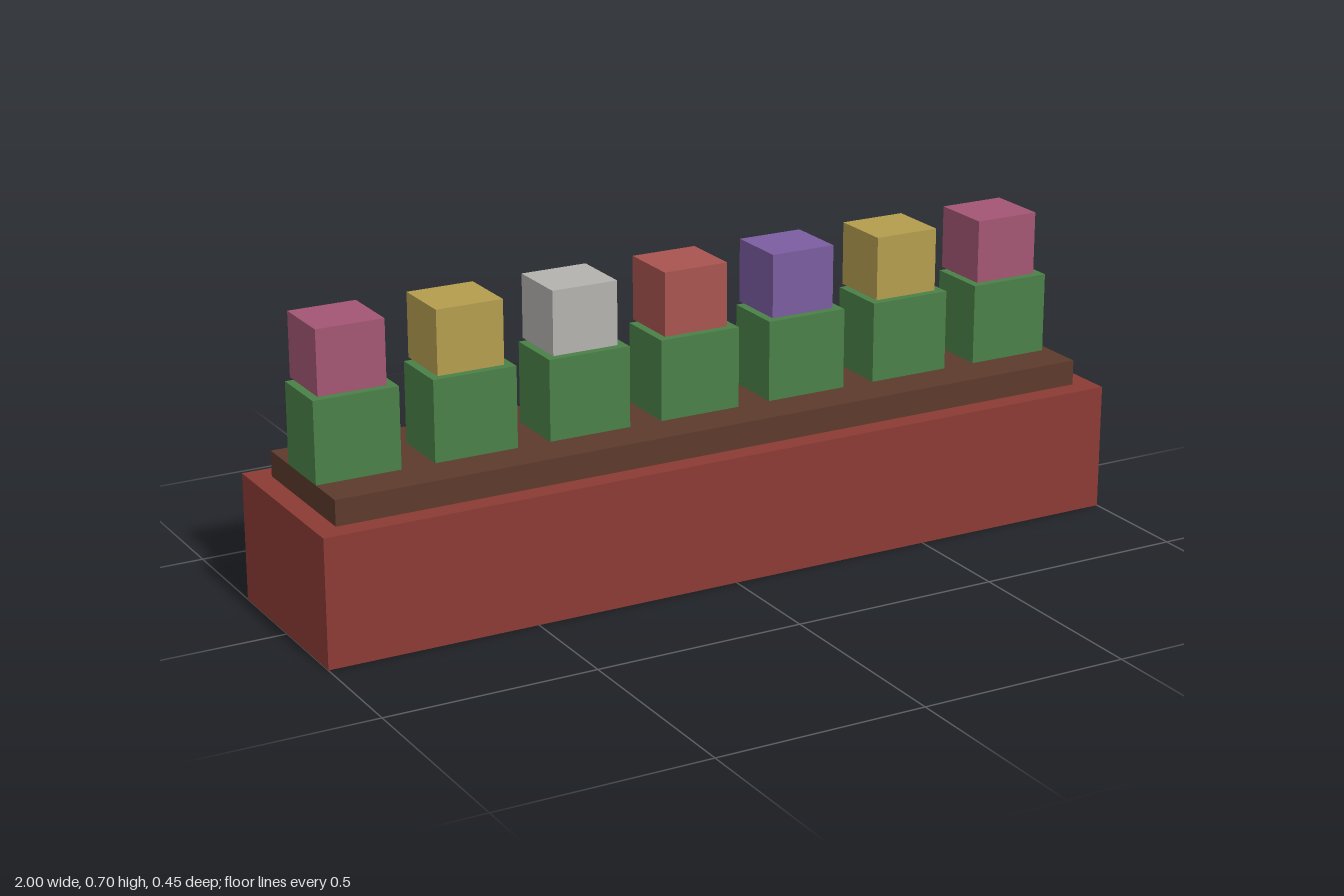
import * as THREE from 'three';

export function createModel() {
  const model = new THREE.Group();
  model.name = 'flowerBox';

  // Box centred on x and z, standing at height y
  function addBox(parent, name, color, [w, h, d], y, z = 0) {
    const material = new THREE.MeshStandardMaterial({ color });
    const mesh = new THREE.Mesh(new THREE.BoxGeometry(w, h, d), material);
    mesh.name = name;
    mesh.position.set(0, y + h / 2, z);
    parent.add(mesh);
  }

  // Planter and the bed of soil on top
  addBox(model, 'planter', 0x8b3a34, [2, 0.3, 0.45], 0);
  addBox(model, 'soil', 0x5c3a2b, [1.9, 0.06, 0.35], 0.3);

  // Row of plants, each a leafy block with a blossom set slightly back
  const pink = 0xa35573, yellow = 0xb39d4e, white = 0xb3b2ae, red = 0xa85450, purple = 0x7b5ca0;
  [pink, yellow, white, red, purple, yellow, pink].forEach((color, i) => {
    const plant = new THREE.Group();
    plant.name = 'plant' + (i + 1);
    plant.position.x = -0.85 + i * 0.28;
    addBox(plant, 'foliage', 0x4a8047, [0.2, 0.19, 0.15], 0.36);
    addBox(plant, 'blossom', color, [0.16, 0.15, 0.15], 0.55, -0.02);
    model.add(plant);
  });

  return model;
}
